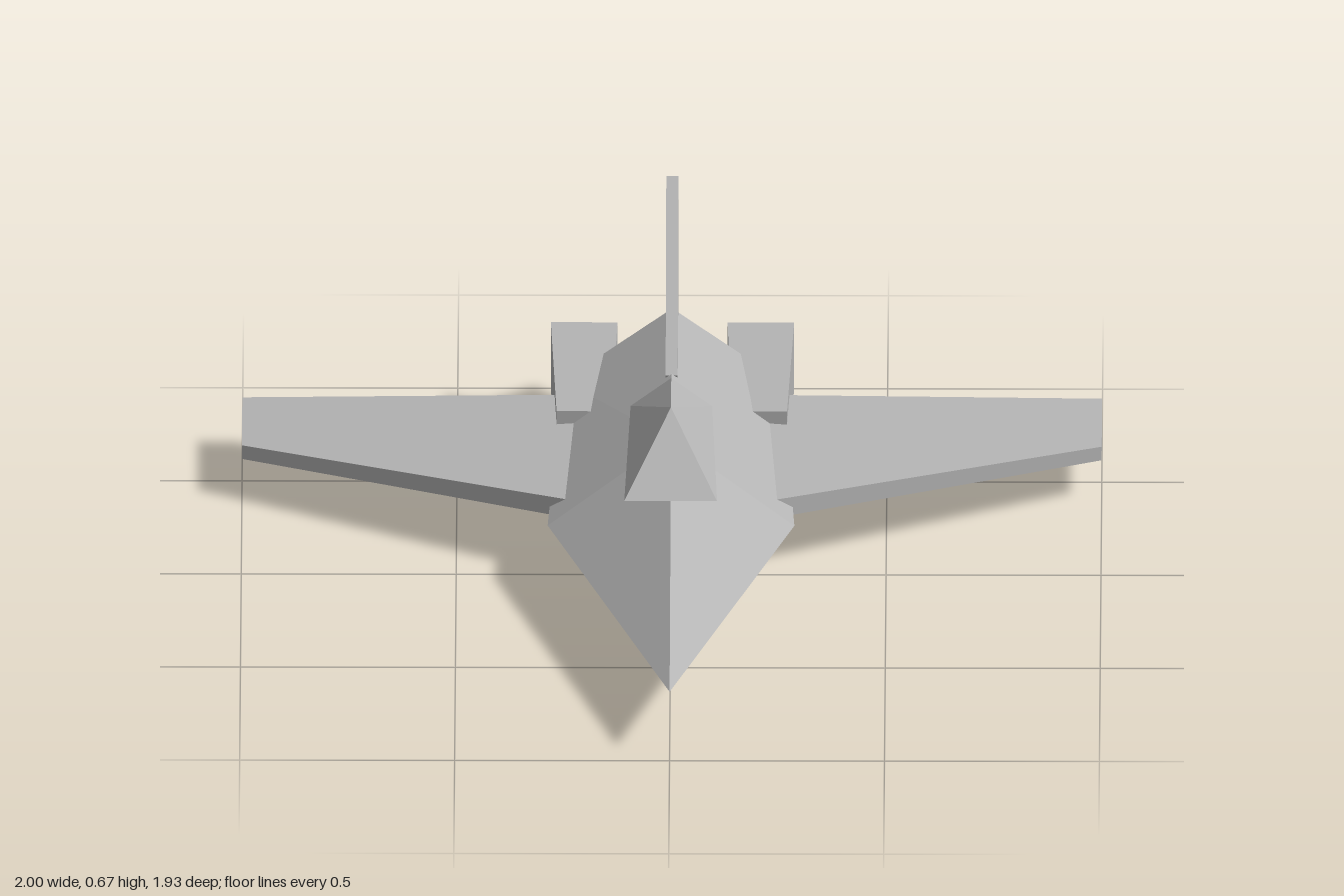
import * as THREE from 'three';
import { ConvexGeometry } from 'three/addons/geometries/ConvexGeometry.js';

export function createModel() {
  const model = new THREE.Group();
  model.name = 'spaceFighter';
  const hullGrey = new THREE.MeshStandardMaterial({ color: 0xb4b4b4 });
  hullGrey.name = 'hullGrey';

  // Faceted solid around a few corner points
  const solid = (name, points) => {
    const geometry = new ConvexGeometry(points.map((p) => new THREE.Vector3(...p)));
    const mesh = new THREE.Mesh(geometry, hullGrey);
    mesh.name = name;
    model.add(mesh);
  };
  // Cross-section corners at one z
  const diamond = (z, w, bottom, mid, top) => [[w, mid, z], [0, top, z], [-w, mid, z], [0, bottom, z]];
  const rect = (z, x0, x1, y0, y1) => [[x0, y0, z], [x1, y0, z], [x1, y1, z], [x0, y1, z]];

  // Fuselage: pointed nose, diamond sections, shallow tail cap
  const middle = diamond(0.07, 0.287, 0, 0.16, 0.383);
  const rear = diamond(-0.708, 0.255, 0.031, 0.16, 0.347);
  solid('fuselage', [[0, 0.16, 0.963], ...middle, ...rear]);
  solid('tailCap', [...rear, [0, 0.16, -0.77]]);

  // Canopy: triangular section with sloped ends
  solid('canopy', [
    [0.108, 0.329, 0.29], [-0.108, 0.329, 0.29], [0, 0.48, 0.1],
    [0, 0.461, -0.097], [0.095, 0.36, -0.157], [-0.095, 0.36, -0.157],
  ]);

  // Tail fin, its foot sunk into the hull
  const finSide = (x) => [[x, 0.362, -0.317], [x, 0.3, -0.34], [x, 0.3, -0.705], [x, 0.347, -0.708], [x, 0.674, -0.738]];
  solid('tailFin', [...finSide(0.014), ...finSide(-0.014)]);

  for (const [side, s] of [['left', 1], ['right', -1]]) {
    // Drooping swept wing, running into the hull
    const wingEnd = (x, zFront, zBack, y0, y1) =>
      [[s * x, y0, zFront], [s * x, y1, zFront], [s * x, y0, zBack], [s * x, y1, zBack]];
    solid(side + 'Wing', [
      ...wingEnd(0.15, 0.04, -0.56, 0.148, 0.196),
      ...wingEnd(1, -0.414, -0.672, 0.098, 0.133),
    ]);

    // Engine pod, slightly wider at the back, with a pyramid exhaust
    solid(side + 'Engine', [
      ...rect(-0.417, s * 0.14, s * 0.268, 0.073, 0.221),
      ...rect(-0.866, s * 0.128, s * 0.283, 0.062, 0.235),
    ]);
    solid(side + 'Exhaust', [
      ...rect(-0.865, s * 0.148, s * 0.263, 0.082, 0.212),
      [s * 0.206, 0.147, -0.963],
    ]);
  }
  return model;
}
